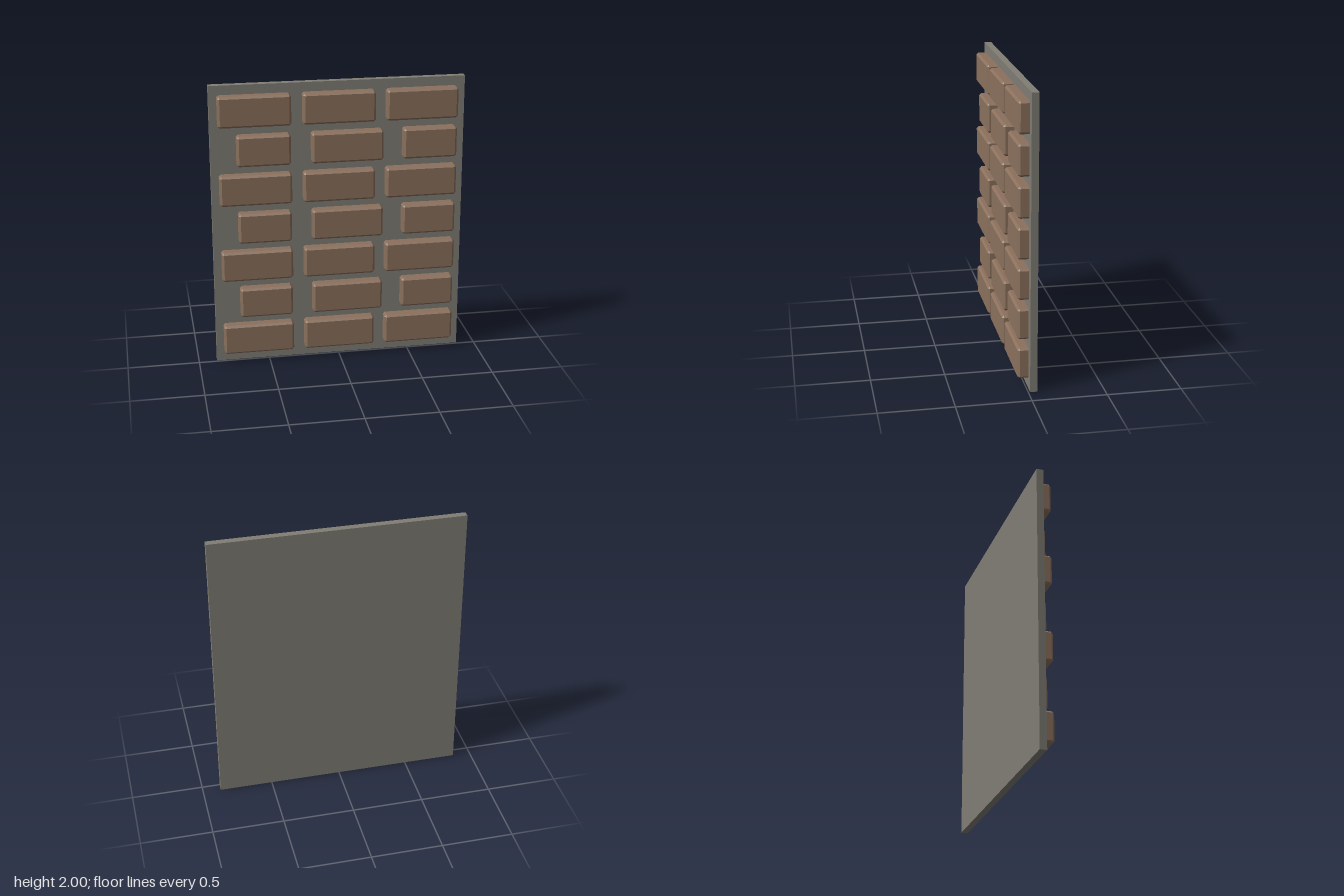
import * as THREE from 'three';
import { ConvexGeometry } from 'three/addons/geometries/ConvexGeometry.js';

const mortar = new THREE.MeshStandardMaterial({ color: 0x807d74 });
mortar.name = 'mortar grey';
const clay = new THREE.MeshStandardMaterial({ color: 0x8c715d });
clay.name = 'clay brown';

// Box with every edge cut by a single flat chamfer
function chamferedBox(w, h, d, b) {
  const points = [];
  for (const sx of [-1, 1]) for (const sy of [-1, 1]) for (const sz of [-1, 1]) {
    const x = w / 2, y = h / 2, z = d / 2;
    points.push(
      new THREE.Vector3(sx * x, sy * (y - b), sz * (z - b)),
      new THREE.Vector3(sx * (x - b), sy * y, sz * (z - b)),
      new THREE.Vector3(sx * (x - b), sy * (y - b), sz * z)
    );
  }
  return new ConvexGeometry(points);
}

export function createModel() {
  const wall = new THREE.Group();
  wall.name = 'brickWall';

  // Mortar slab
  const slab = new THREE.Mesh(new THREE.BoxGeometry(1.746, 2, 0.048), mortar);
  slab.name = 'mortarSlab';
  slab.position.set(0, 1, -0.036);
  wall.add(slab);

  // Brick extents along x: full courses alternate with offset courses
  const fullCourse = [[-0.82, -0.328], [-0.248, 0.246], [0.324, 0.816]];
  const offsetCourse = [[-0.698, -0.333], [-0.19, 0.302], [0.442, 0.813]];
  const back = -0.03, front = 0.06;

  // Seven courses, with brick backs sunk into the slab
  for (let row = 0; row < 7; row++) {
    const course = new THREE.Group();
    course.name = `brickCourse${row + 1}`;
    course.position.y = 0.18 + row * 0.2748;
    for (const [x0, x1] of row % 2 ? offsetCourse : fullCourse) {
      const brick = new THREE.Mesh(chamferedBox(x1 - x0, 0.213, front - back, 0.014), clay);
      brick.name = 'brick';
      brick.position.set((x0 + x1) / 2, 0, (front + back) / 2);
      course.add(brick);
    }
    wall.add(course);
  }
  return wall;
}
